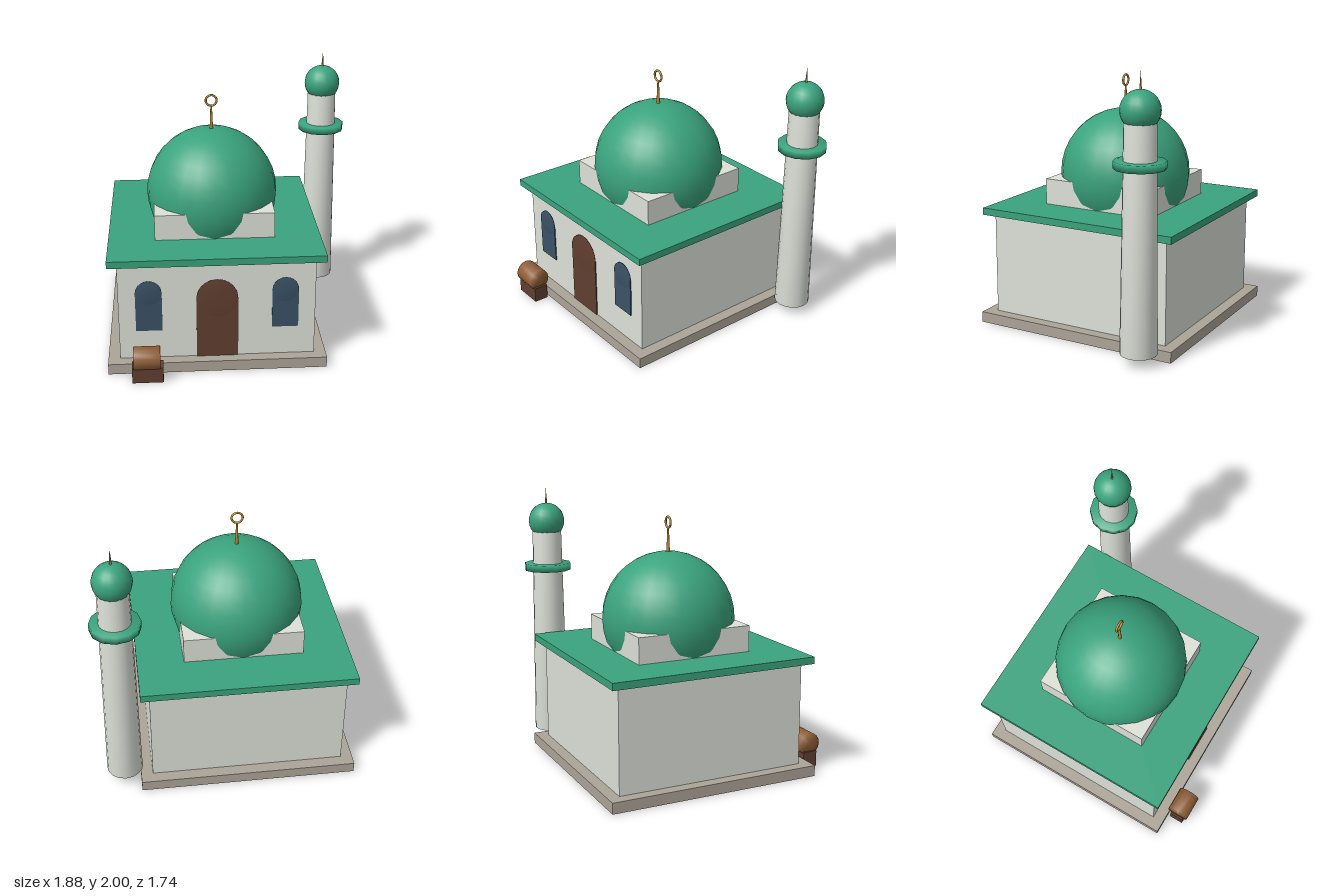
import * as THREE from 'three';
import { mergeVertices } from 'three/addons/utils/BufferGeometryUtils.js';

const paint = (name, hex) => {
  const m = new THREE.MeshStandardMaterial({ color: hex });
  m.name = name;
  return m;
};

// Weld rims so that shading flows softly over the edges
function soften(geometry) {
  geometry.deleteAttribute('normal');
  geometry.deleteAttribute('uv');
  const welded = mergeVertices(geometry);
  welded.computeVertexNormals();
  return welded;
}

export function createModel() {
  const group = new THREE.Group();
  group.name = 'domedBuilding';

  const plaster = paint('plaster', 0xdde1d8);
  const green = paint('green', 0x3aa37e);
  const stone = paint('stone', 0xaca498);
  const doorBrown = paint('door brown', 0x613f30);
  const glass = paint('window blue', 0x3a5266);
  const gold = paint('gold', 0xbf8a30);
  const wood = paint('wood', 0x8f5f38);

  const add = (name, geometry, material, x, y, z) => {
    const mesh = new THREE.Mesh(geometry, material);
    mesh.name = name;
    mesh.position.set(x, y, z);
    group.add(mesh);
    return mesh;
  };
  // Box given by its centre in plan, its bottom and its top
  const block = (name, material, x, z, w, d, y0, y1) =>
    add(name, new THREE.BoxGeometry(w, y1 - y0, d), material, x, (y0 + y1) / 2, z);
  const column = (name, material, x, z, rTop, rBottom, y0, y1, sides) =>
    add(name, soften(new THREE.CylinderGeometry(rTop, rBottom, y1 - y0, sides)), material, x, (y0 + y1) / 2, z);

  // Hall: plinth, walls, roof slab and the square drum
  const cx = -0.15, cz = -0.08;
  block('plinth', stone, cx, cz, 1.585, 1.585, 0, 0.08);
  block('walls', plaster, cx, cz, 1.414, 1.414, 0.08, 0.836);
  block('roof', green, cx, cz, 1.545, 1.545, 0.836, 0.888);
  block('drum', plaster, cx, cz, 0.87, 0.87, 0.888, 1.08);

  // Main dome with its finial
  add('dome', new THREE.SphereGeometry(0.487, 24, 18), green, cx, 1.1, cz);
  column('finialRod', gold, cx, cz, 0.006, 0.014, 1.56, 1.76, 10);
  add('finialRing', new THREE.TorusGeometry(0.04, 0.008, 8, 24), gold, cx, 1.798, cz);

  // Arched openings: a thin plate topped by a thin disc
  const wallZ = cz + 0.707;
  const opening = (name, material, x, r, y0, ySpring) => {
    block(name + 'Panel', material, x, wallZ + 0.004, 2 * r, 0.009, y0, ySpring);
    const disc = soften(new THREE.CylinderGeometry(r, r, 0.0095, 20).rotateX(Math.PI / 2));
    add(name + 'Arch', disc, material, x, ySpring, wallZ + 0.006);
  };
  opening('door', doorBrown, cx, 0.15, 0.08, 0.55);
  for (const side of [-1, 1]) {
    opening(side > 0 ? 'leftWindow' : 'rightWindow', glass, cx + side * 0.49, 0.095, 0.305, 0.605);
  }

  // Tower: tapered shaft, gallery, small dome and spike
  const tx = 0.757, tz = -0.685;
  column('towerShaft', plaster, tx, tz, 0.11, 0.131, 0.08, 1.69, 16);
  column('towerGallery', green, tx, tz, 0.178, 0.178, 1.363, 1.416, 12);
  add('towerDome', new THREE.SphereGeometry(0.137, 18, 14), green, tx, 1.744, tz);
  add('towerSpike', new THREE.ConeGeometry(0.01, 0.14, 8), gold, tx, 1.93, tz);

  // Log resting on a stand beside the entrance
  block('logStand', doorBrown, -0.657, 0.787, 0.222, 0.11, 0, 0.117);
  const log = soften(new THREE.CylinderGeometry(0.084, 0.084, 0.19, 16).rotateZ(Math.PI / 2));
  add('log', log, wood, -0.66, 0.172, 0.787);

  return group;
}
